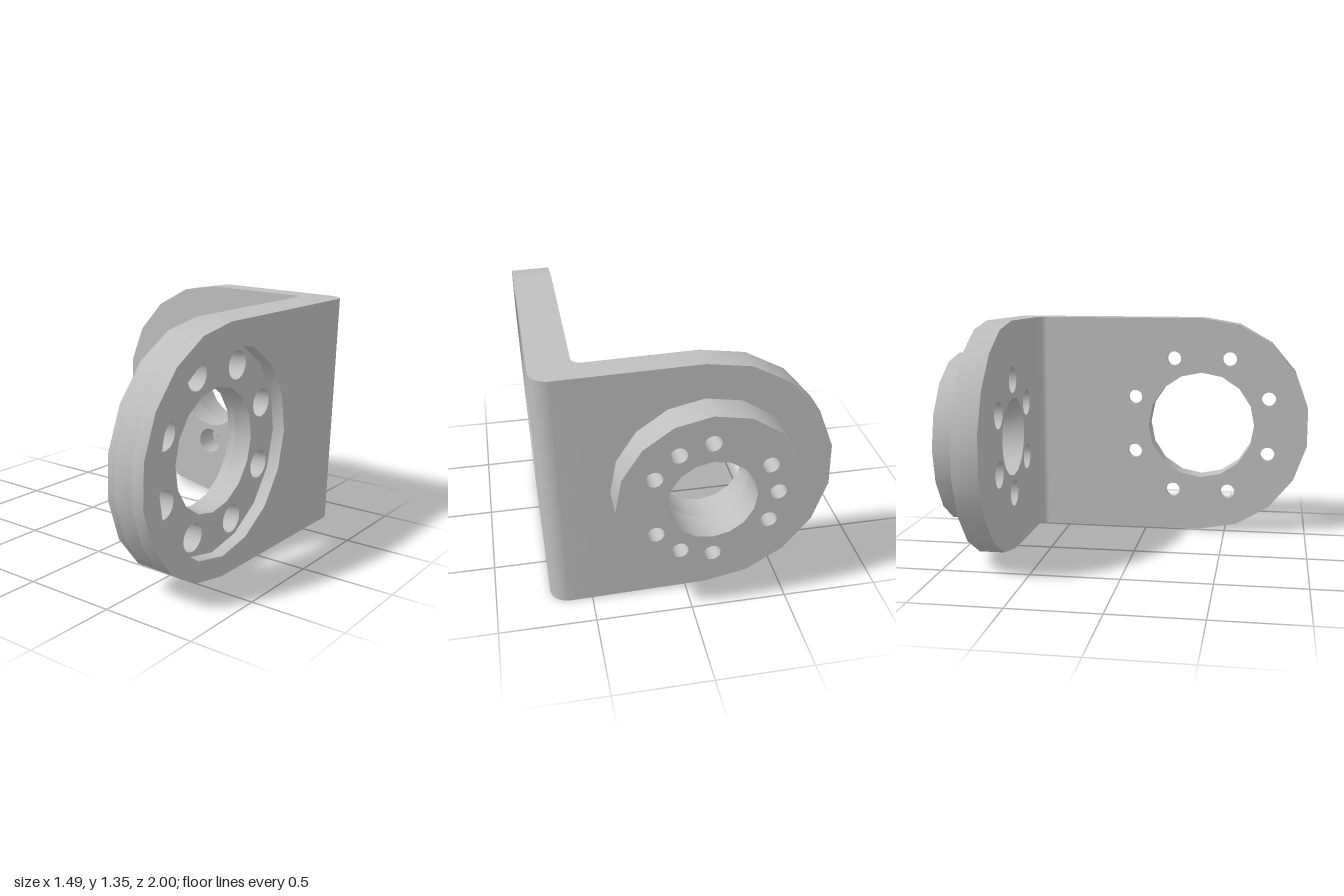
import * as THREE from 'three';
import { toCreasedNormals } from 'three/addons/utils/BufferGeometryUtils.js';

const R = 0.665;        // half height of both plates

// points around a circle
function ring(cx, cy, r, n, start = Math.PI / 2, sweep = Math.PI * 2) {
  const count = sweep < 6 ? n + 1 : n;
  return Array.from({ length: count }, (_, i) => {
    const a = start + (sweep * i) / n;
    return new THREE.Vector2(cx + r * Math.cos(a), cy + r * Math.sin(a));
  });
}

// plate with a rounded end at -x, squared off at x = length
function plate(length) {
  const pts = ring(0, 0, R, 9, Math.PI / 2, Math.PI);
  pts.push(new THREE.Vector2(length, -R), new THREE.Vector2(length, R));
  return new THREE.Shape(pts);
}

function bore(shape, r, n = 16, cx = 0, cy = 0) {
  shape.holes.push(new THREE.Path(ring(cx, cy, r, n)));
  return shape;
}

// circle of screw holes
function boltCircle(shape, count, circle, r, offset) {
  for (let i = 0; i < count; i++) {
    const a = offset + (i * Math.PI * 2) / count;
    bore(shape, r, 20, circle * Math.cos(a), circle * Math.sin(a));
  }
  return shape;
}

function extrude(shape, depth) {
  return new THREE.ExtrudeGeometry(shape, { depth, bevelEnabled: false, curveSegments: 8 });
}

export function createModel() {
  const metal = new THREE.MeshStandardMaterial({ color: 0xbfbfbf });
  metal.name = 'grey metal';
  const bracket = new THREE.Group();
  bracket.name = 'angleBracket';

  const add = (name, geo, x, y, z) => {
    const mesh = new THREE.Mesh(toCreasedNormals(geo, 0.6), metal);
    mesh.name = name;
    mesh.position.set(x, y, z);
    bracket.add(mesh);
  };

  // back plate with wide screw-head bores
  const back = boltCircle(bore(plate(0.56), 0.226), 6, 0.33, 0.077, Math.PI / 2);
  add('backPlate', extrude(back, 0.145), 0, 0, -0.835);

  // round boss: six through holes and three blind ones
  const boss = bore(new THREE.Shape(ring(0, 0, 0.48, 16)), 0.226);
  boltCircle(boss, 6, 0.33, 0.043, Math.PI / 2);
  boltCircle(boss, 3, 0.33, 0.043, Math.PI / 3);
  add('rearBoss', extrude(boss, 0.165), 0, 0, -1);

  // side plate in layers: narrow holes, screw-head bores, wide recess
  const side = (name, shape, x, depth) =>
    add(name, extrude(shape, depth).rotateY(Math.PI / 2), x, 0, 0.343);
  const a = Math.PI / 8;
  side('sidePlateInner', boltCircle(bore(plate(0.983), 0.33), 8, 0.45, 0.043, a), 0.61, 0.04);
  side('sidePlateMiddle', boltCircle(bore(plate(0.983), 0.33), 8, 0.45, 0.077, a), 0.65, 0.1);
  side('sidePlateRecessRim', bore(plate(0.983), 0.553), 0.75, 0.07);

  // filleted corner joining the plates
  const corner = new THREE.Shape();
  corner.moveTo(0.56, 0.69);
  corner.lineTo(0.56, 0.835);
  corner.lineTo(0.72, 0.835);
  corner.absarc(0.72, 0.735, 0.1, Math.PI / 2, 0, true);
  corner.lineTo(0.82, 0.64);
  corner.lineTo(0.61, 0.64);
  corner.absarc(0.56, 0.64, 0.05, 0, Math.PI / 2, false);
  add('filletedCorner', extrude(corner, 2 * R).rotateX(-Math.PI / 2), 0, -R, 0);

  // slight sideways lean
  bracket.rotation.z = -0.0213;
  bracket.position.set(-0.09, 0.6825, 0);

  const model = new THREE.Group();
  model.name = 'bracket';
  model.add(bracket);
  return model;
}
